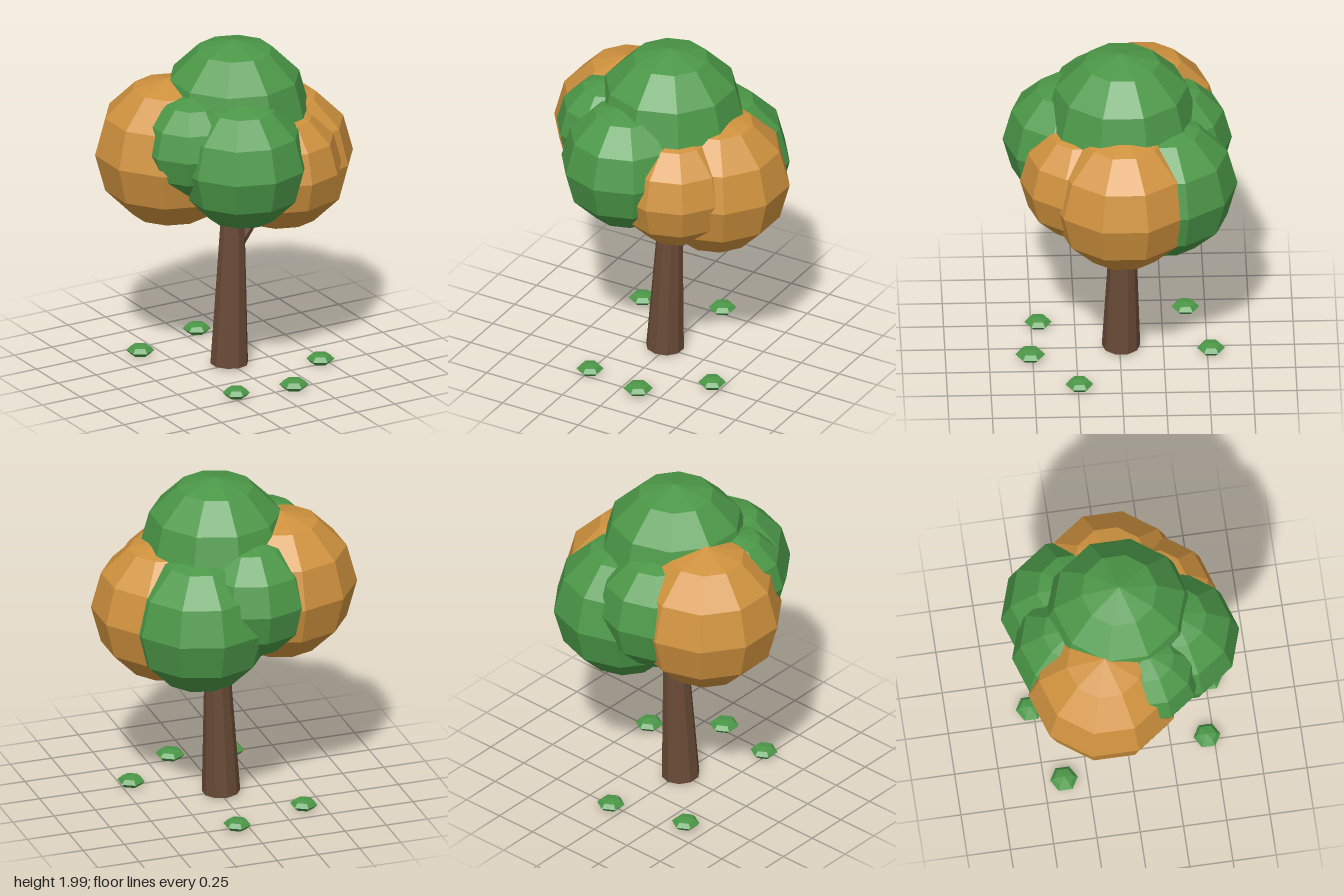
import * as THREE from 'three';

const paint = (name, color) => {
  const m = new THREE.MeshStandardMaterial({ color });
  m.name = name;
  return m;
};

// Faceted look: split the vertices so each face has its own normal
function faceted(geometry) {
  const g = geometry.toNonIndexed();
  g.computeVertexNormals();
  return g;
}

function addMesh(parent, name, geometry, material, position = [0, 0, 0]) {
  const mesh = new THREE.Mesh(faceted(geometry), material);
  mesh.name = name;
  mesh.position.set(...position);
  parent.add(mesh);
  return mesh;
}

// Tapered limb between two points
function addLimb(parent, name, from, to, r0, r1, sides, material) {
  const a = new THREE.Vector3(...from), b = new THREE.Vector3(...to);
  const axis = b.clone().sub(a);
  const limb = addMesh(parent, name, new THREE.CylinderGeometry(r1, r0, axis.length(), sides), material);
  limb.position.copy(a).add(b).multiplyScalar(0.5);
  limb.quaternion.setFromUnitVectors(new THREE.Vector3(0, 1, 0), axis.normalize());
  return limb;
}

export function createModel() {
  const green = paint('leaf green', 0x4c9848);
  const amber = paint('autumn amber', 0xcf923e);
  const bark = paint('bark brown', 0x694a36);

  const tree = new THREE.Group();
  tree.name = 'tree';

  // Trunk with a slight lean, and a side branch
  addLimb(tree, 'trunk', [-0.01, 0.019, -0.008], [0.03, 1.2, -0.024], 0.11, 0.056, 10, bark);
  addLimb(tree, 'branch', [0.055, 0.755, -0.02], [0.27, 1.03, -0.02], 0.046, 0.034, 8, bark);

  // Crown: overlapping faceted foliage balls
  const crown = new THREE.Group();
  crown.name = 'crown';
  tree.add(crown);
  const balls = [
    ['topFoliage', green, [0.025, 1.562, -0.01], 0.438],
    ['frontFoliage', green, [-0.093, 1.365, 0.285], 0.382],
    ['rightSmallFoliage', green, [-0.32, 1.455, 0.107], 0.3],
    ['backFoliage', green, [-0.088, 1.36, -0.285], 0.36],
    ['backLeftFoliage', green, [0.2, 1.23, -0.248], 0.42],
    ['leftFoliage', amber, [0.325, 1.23, -0.012], 0.43],
    ['frontLeftFoliage', amber, [0.2, 1.267, 0.227], 0.35],
    ['rightFoliage', amber, [-0.32, 1.347, -0.141], 0.442],
  ];
  for (const [name, material, position, radius] of balls) {
    const ball = new THREE.SphereGeometry(radius, 10, 6).rotateY(Math.PI / 2);
    addMesh(crown, name, ball, material, position);
  }

  // Fallen leaves: flattened six-sided pebbles around the trunk
  const fallen = new THREE.Group();
  fallen.name = 'fallenLeaves';
  tree.add(fallen);
  const spots = [
    [-0.235, 0.46, 0.078], [0.115, 0.515, 0.085], [0.447, 0.244, 0.08],
    [0.073, -0.52, 0.08], [-0.378, -0.387, 0.08],
  ];
  for (const [x, z, r] of spots) {
    const leaf = new THREE.SphereGeometry(r, 6, 4).rotateY(Math.PI / 2).scale(1, 0.033 / r, 1);
    addMesh(fallen, 'fallenLeaf', leaf, green, [x, 0.04, z]);
  }

  return tree;
}
